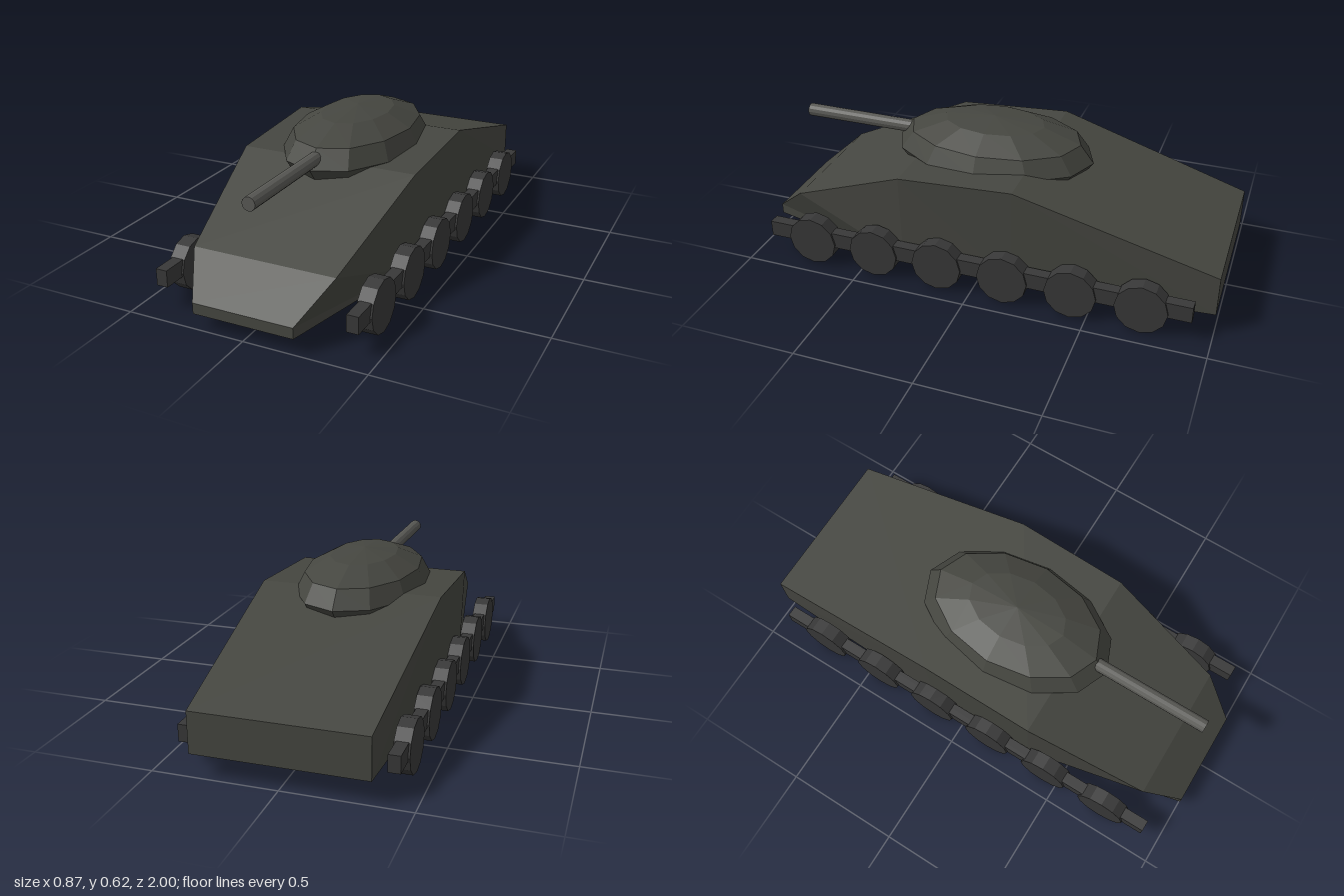
import * as THREE from 'three';

const paint = (color) => new THREE.MeshStandardMaterial({ color, flatShading: true });
const hullPaint = paint(0x454640);
const gearPaint = paint(0x383838);
const gunPaint = paint(0x585854);

function add(parent, name, geometry, material, x = 0, y = 0, z = 0) {
  const mesh = new THREE.Mesh(geometry, material);
  mesh.name = name;
  mesh.position.set(x, y, z);
  parent.add(mesh);
  return mesh;
}

// Hull skin over four-cornered sections, front to back.
// Each section: top half width, y, z, then bottom half width, y, z.
function hullGeometry() {
  const sections = [
    [0.21, 0.11, 1, 0.21, 0.065, 1],
    [0.30, 0.25, 0.84, 0.37, 0.065, 0.32],
    [0.382, 0.47, 0.32, 0.37, 0.065, 0.32],
    [0.385, 0.50, -0.17, 0.37, 0.067, -0.17],
    [0.345, 0.265, -1, 0.345, 0.095, -1],
  ].map(([tw, ty, tz, bw, by, bz]) => [
    [tw, ty, tz], [-tw, ty, tz], [-bw, by, bz], [bw, by, bz],
  ]);
  const points = [];
  const tri = (a, b, c) => points.push(...a, ...b, ...c);

  for (let s = 0; s < sections.length - 1; s++) {
    const f = sections[s], b = sections[s + 1];
    for (let i = 0; i < 4; i++) {
      const j = (i + 1) % 4;
      // The diagonals of the two flanks mirror each other
      if (i === 1) {
        tri(f[i], b[i], b[j]);
        tri(f[i], b[j], f[j]);
      } else {
        tri(f[i], b[i], f[j]);
        tri(b[i], b[j], f[j]);
      }
    }
  }
  // Nose and tail plates
  const nose = sections[0], tail = sections[sections.length - 1];
  tri(nose[0], nose[1], nose[2]);
  tri(nose[0], nose[2], nose[3]);
  tri(tail[0], tail[2], tail[1]);
  tri(tail[0], tail[3], tail[2]);

  const geometry = new THREE.BufferGeometry();
  geometry.setAttribute('position', new THREE.Float32BufferAttribute(points, 3));
  geometry.computeVertexNormals();
  return geometry;
}

export function createModel() {
  const model = new THREE.Group();
  model.name = 'tank';

  add(model, 'hull', hullGeometry(), hullPaint);

  // Faceted dome, longer than wide, sunk into the deck
  const dome = new THREE.SphereGeometry(1, 12, 6).scale(0.275, 0.15, 0.435);
  add(model, 'turret', dome, hullPaint, 0, 0.475, 0.035);

  const barrel = new THREE.CylinderGeometry(0.028, 0.028, 0.62, 12).rotateX(Math.PI / 2);
  add(model, 'gunBarrel', barrel, gunPaint, 0, 0.51, 0.61);

  // Running gear: a beam and six wheels on each side
  const wheel = new THREE.CylinderGeometry(0.108, 0.108, 0.064, 12).rotateZ(Math.PI / 2);
  const beam = new THREE.BoxGeometry(0.048, 0.07, 1.84);
  for (const side of [1, -1]) {
    const gear = new THREE.Group();
    gear.name = side > 0 ? 'leftRunningGear' : 'rightRunningGear';
    add(gear, 'trackBeam', beam, gearPaint, side * 0.402, 0.13, 0);
    for (let i = 0; i < 6; i++) {
      add(gear, 'wheel', wheel, gearPaint, side * 0.402, 0.11, 0.72 - i * 0.288);
    }
    model.add(gear);
  }
  return model;
}
